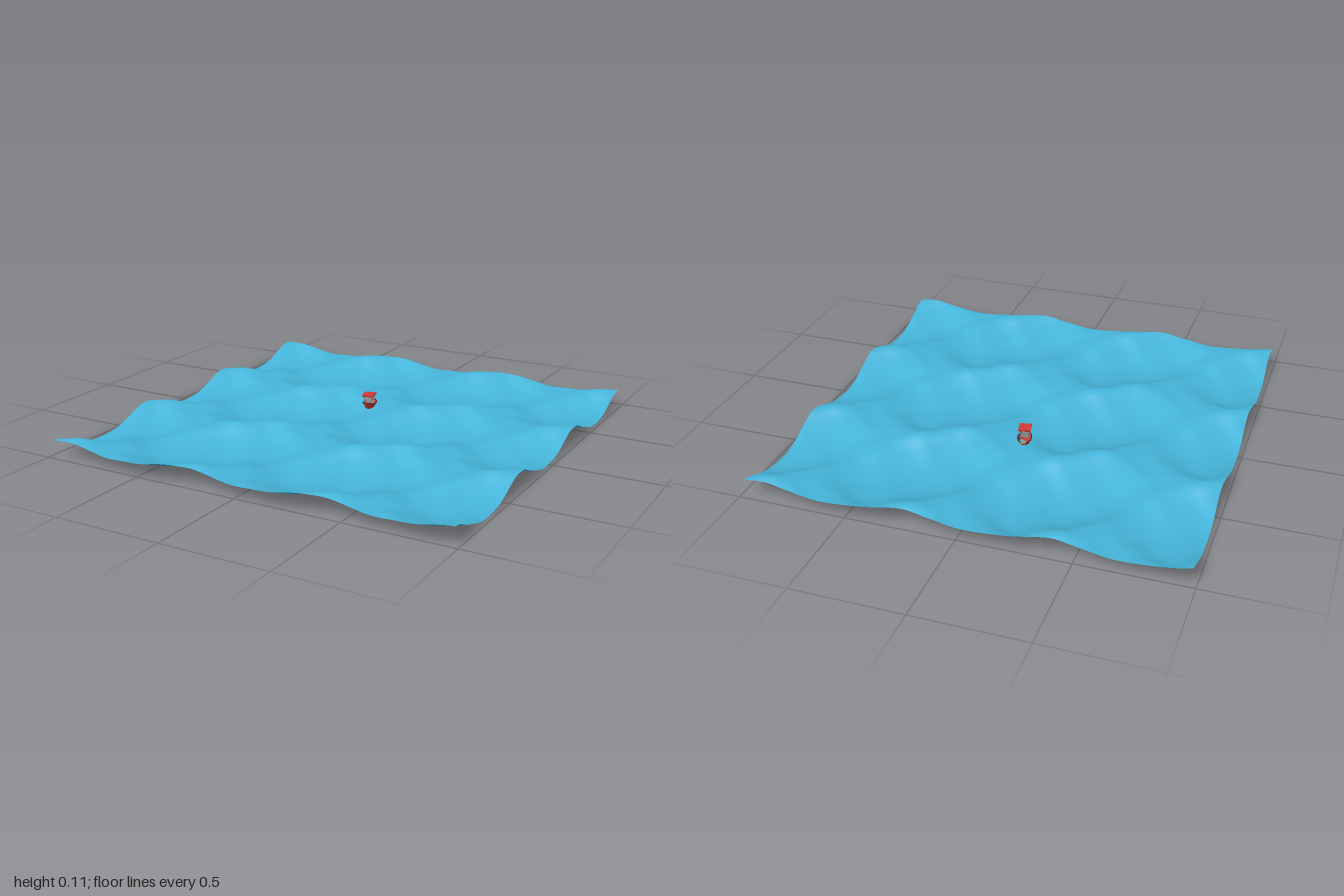
import * as THREE from 'three';

const mat = (name, color, side = THREE.FrontSide) =>
  Object.assign(new THREE.MeshStandardMaterial({ color, side }), { name });

// Wave components on a repeating square tile: amplitude, kind of x and z factor, harmonics
const TILE = 1.96 / 3;
const K = (2 * Math.PI) / TILE;
const WAVES = [
  [-0.023, 'c', 0, 'c', 1],
  [0.016, 'c', 1, 'c', 1],
  [-0.022, 's', 1, 's', 1],
  [-0.006, 's', 2, 's', 2],
  [0.0012, 's', 3, 'c', 2],
  [-0.001, 'c', 2, 's', 4],
  [0.0008, 's', 5, 's', 3],
  [0.0006, 'c', 4, 'c', 5],
];
const wave = (kind, t) => (kind === 'c' ? Math.cos(t) : Math.sin(t));
const slope = (kind, t) => (kind === 'c' ? -Math.sin(t) : Math.cos(t));

// Height plus sideways drift toward the crests, which sharpens them
function displace(x, z) {
  let y = 0.047, dx = 0, dz = 0;
  for (const [a, kx, m, kz, n] of WAVES) {
    const u = m * K * x, v = n * K * z, len = Math.hypot(m, n);
    y += a * wave(kx, u) * wave(kz, v);
    dx += (a * m / len) * slope(kx, u) * wave(kz, v);
    dz += (a * n / len) * wave(kx, u) * slope(kz, v);
  }
  return [x + 0.3 * dx, y, z + 1.1 * dz];
}

function makeSea(material) {
  const geo = new THREE.PlaneGeometry(1.96, 1.96, 150, 150).rotateX(-Math.PI / 2);
  const p = geo.attributes.position;
  for (let i = 0; i < p.count; i++) p.setXYZ(i, ...displace(p.getX(i), p.getZ(i)));
  geo.computeVertexNormals();
  const sea = new THREE.Mesh(geo, material);
  sea.name = 'sea';
  return sea;
}

function makeBoat(red, grey, tan, dark) {
  const boat = new THREE.Group();
  boat.name = 'boat';
  const add = (name, geo, material, x = 0, y = 0, z = 0) => {
    const mesh = new THREE.Mesh(geo, material);
    mesh.name = name;
    mesh.position.set(x, y, z);
    boat.add(mesh);
    return mesh;
  };

  // Open hull: rings of an oval widening upward, pinched and raised at the bow
  const hull = new THREE.CylinderGeometry(1, 0.7, 1, 24, 3, true);
  const p = hull.attributes.position;
  for (let i = 0; i < p.count; i++) {
    const z = p.getZ(i), bow = Math.max(0, z) ** 3, top = p.getY(i) + 0.5;
    p.setXYZ(i, p.getX(i) * 0.031 * (1 - 0.4 * bow), top * (0.024 + 0.012 * bow), z * 0.052 + 0.008 * bow * top);
  }
  hull.computeVertexNormals();
  add('hull', hull, red);
  const bottom = new THREE.CircleGeometry(1, 24).rotateX(-Math.PI / 2).scale(0.021, 1, 0.036);
  add('hullBottom', bottom, red, 0, 0.001, 0);

  // Rim following the hull's upper edge
  const rim = [];
  for (let i = 0; i < 24; i++) {
    const t = (i / 24) * Math.PI * 2, s = Math.cos(t), bow = Math.max(0, s) ** 3;
    rim.push(new THREE.Vector3(Math.sin(t) * 0.031 * (1 - 0.4 * bow), 0.024 + 0.012 * bow, s * 0.052 + 0.008 * bow));
  }
  add('rim', new THREE.TubeGeometry(new THREE.CatmullRomCurve3(rim, true), 48, 0.003, 6, true), dark);

  // Pointed bow and stern pieces
  add('bowTip', new THREE.ConeGeometry(0.006, 0.018, 8).rotateX(1.3), red, 0, 0.036, 0.064);
  add('sternPiece', new THREE.BoxGeometry(0.022, 0.006, 0.014), tan, 0, 0.028, -0.056);

  // Cabin with posts and canopy
  add('cabin', new THREE.BoxGeometry(0.03, 0.026, 0.022), grey, 0, 0.036, 0.014);
  for (const x of [-0.018, 0.018]) for (const z of [-0.008, 0.034])
    add('canopyPost', new THREE.CylinderGeometry(0.002, 0.002, 0.046, 6), grey, x, 0.044, z);
  add('canopy', new THREE.BoxGeometry(0.056, 0.007, 0.06), red, 0, 0.068, 0.014);
  add('canopyEdge', new THREE.BoxGeometry(0.05, 0.004, 0.054), dark, 0, 0.063, 0.014);
  return boat;
}

export function createModel() {
  const model = new THREE.Group();
  model.name = 'boatAtSea';
  const sea = mat('sea blue', 0x45b5da, THREE.DoubleSide);
  const red = mat('boat red', 0xd03c36, THREE.DoubleSide);
  const grey = mat('cabin grey', 0x8f9498);
  const tan = mat('stern tan', 0xb98a5a);
  const dark = mat('rim dark red', 0x6e2422);

  model.add(makeSea(sea));
  const boat = makeBoat(red, grey, tan, dark);
  boat.position.set(-0.041, 0.047, -0.238);
  boat.rotation.y = 0.2;
  model.add(boat);
  return model;
}
